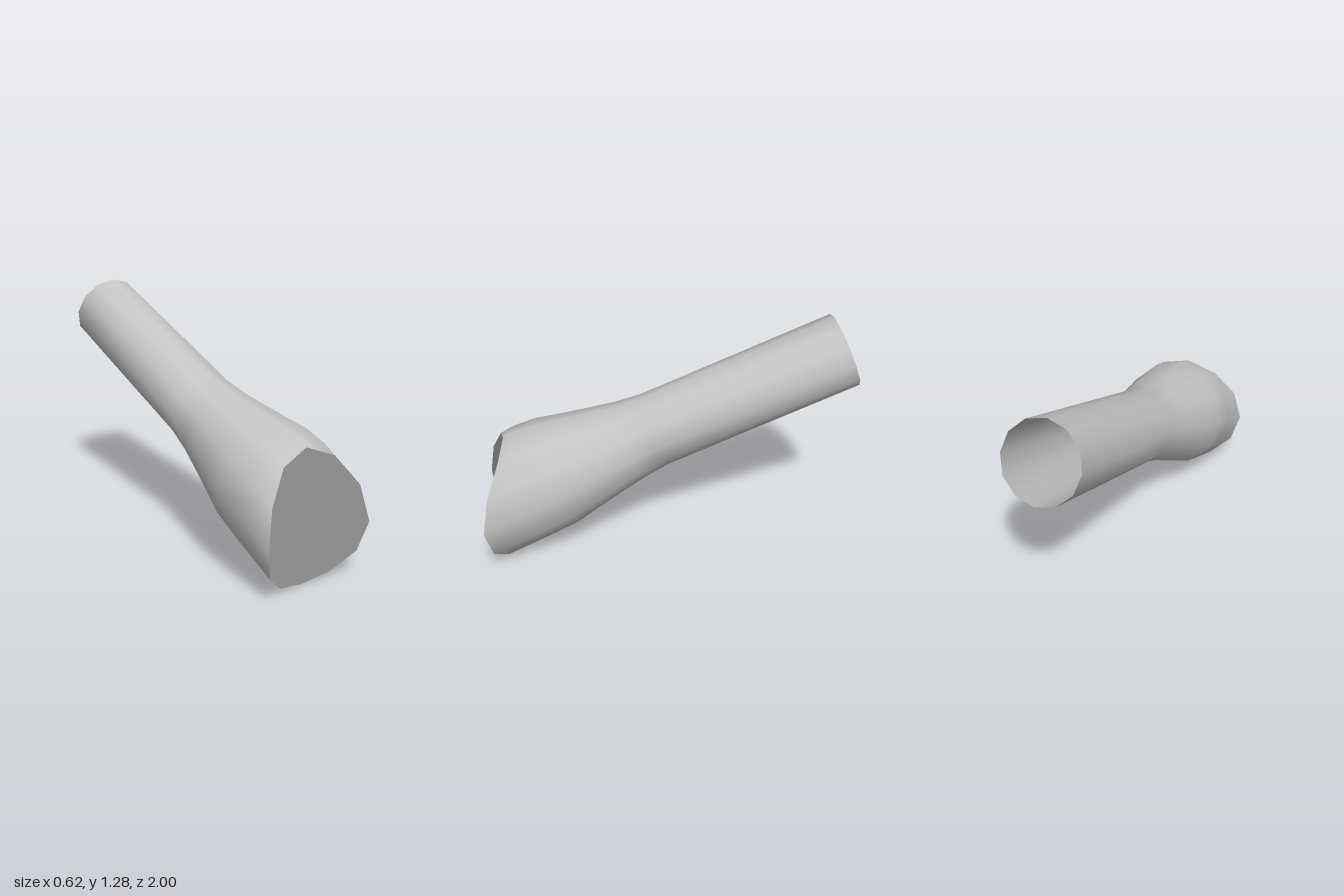
import * as THREE from 'three';

const SIDES = 12;
const TILT = Math.PI / 8;
const AXIS = new THREE.Vector3(0, -Math.sin(TILT), Math.cos(TILT));
const UP = new THREE.Vector3(0, Math.cos(TILT), Math.sin(TILT));
const START = new THREE.Vector3(0, 1.1, -0.92); // centre of the open back end

// distance along the tilted axis, radius
const PROFILE = [
  [0, 0.2], [1.085, 0.201], [1.23, 0.218], [1.37, 0.244],
  [1.52, 0.274], [1.66, 0.304], [1.79, 0.312],
];
// curved front rim as y, z, from the top corner down to the bottom one
const RIM = [
  [0.685, 0.88], [0.625, 0.905], [0.475, 0.967], [0.29, 1],
  [0.135, 0.966], [0.035, 0.905], [0.002, 0.88],
];

function ringPoint(u, r, a) {
  return START.clone().addScaledVector(AXIS, u).addScaledVector(UP, r * Math.cos(a))
    .add(new THREE.Vector3(r * Math.sin(a), 0, 0));
}

function rimPoints() {
  return Array.from({ length: SIDES }, (_, i) => {
    const [y, z] = RIM[Math.min(i, SIDES - i)];
    return new THREE.Vector3(0.312 * Math.sin((i / SIDES) * Math.PI * 2), y, z);
  });
}

// Flared tube: rings joined around a shared seam for smooth shading
function tubeGeometry() {
  const points = [];
  for (const [u, r] of PROFILE) {
    for (let i = 0; i < SIDES; i++) points.push(ringPoint(u, r, (i / SIDES) * Math.PI * 2));
  }
  points.push(...rimPoints());
  const index = [];
  for (let k = 0; k < PROFILE.length; k++) {
    for (let i = 0; i < SIDES; i++) {
      const a = k * SIDES + i, b = k * SIDES + ((i + 1) % SIDES);
      index.push(a, a + SIDES, b, b, a + SIDES, b + SIDES);
    }
  }
  const geometry = new THREE.BufferGeometry().setFromPoints(points);
  geometry.setIndex(index);
  geometry.computeVertexNormals();
  return geometry;
}

// Front cap: a shallow fan shaded evenly along the axis
function capGeometry() {
  const rim = rimPoints();
  const centre = new THREE.Vector3();
  rim.forEach((p) => centre.addScaledVector(p, 1 / SIDES));
  const index = [];
  for (let i = 0; i < SIDES; i++) index.push(SIDES, (i + 1) % SIDES, i);
  const geometry = new THREE.BufferGeometry().setFromPoints([...rim, centre]);
  geometry.setIndex(index);
  const normals = Array.from({ length: SIDES + 1 }, () => AXIS.toArray()).flat();
  geometry.setAttribute('normal', new THREE.Float32BufferAttribute(normals, 3));
  return geometry;
}

export function createModel() {
  const grey = new THREE.MeshStandardMaterial({ color: 0xc4c4c4, side: THREE.DoubleSide });
  grey.name = 'light grey';
  const group = new THREE.Group();
  group.name = 'flaredTube';
  const add = (name, geometry) => {
    const mesh = new THREE.Mesh(geometry, grey);
    mesh.name = name;
    group.add(mesh);
  };
  add('tubeWall', tubeGeometry());
  add('frontCap', capGeometry());
  return group;
}
